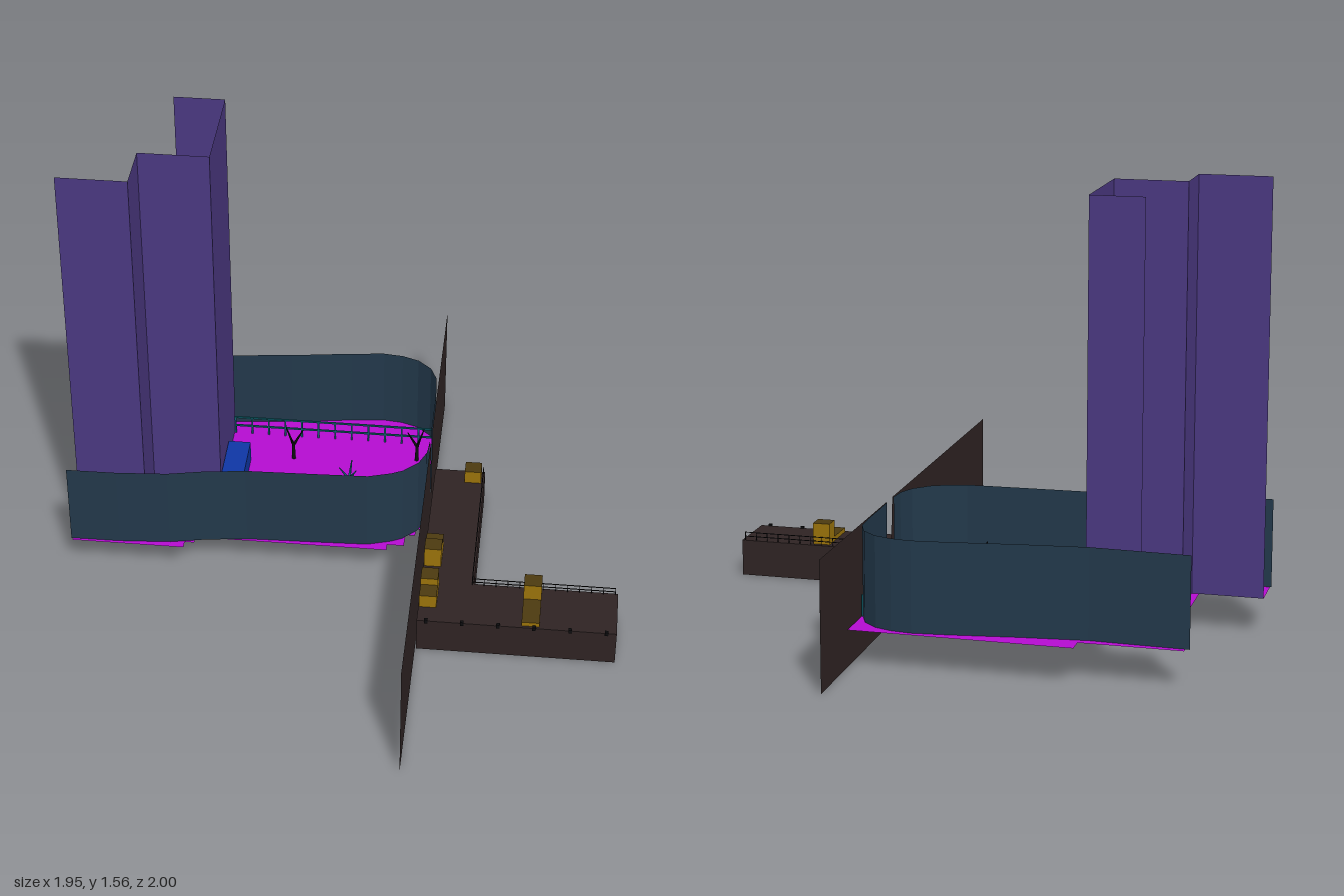
import * as THREE from 'three';

const mat = (name, color, double) => {
  const m = new THREE.MeshStandardMaterial({ color });
  m.name = name;
  if (double) m.side = THREE.DoubleSide;
  return m;
};

export function createModel() {
  const model = new THREE.Group();
  model.name = 'courtyardSet';
  const purple = mat('towerPurple', 0x4a3880, true);
  const slate = mat('slateBlue', 0x22384a, true);
  const brown = mat('darkBrown', 0x2e2323, true);
  const magenta = mat('floorMagenta', 0xb40cd0, true);
  const blue = mat('counterBlue', 0x0f36a4);
  const yellow = mat('crateYellow', 0x99720a);
  const olive = mat('crateTopOlive', 0x4c3a10);
  const black = mat('nearBlack', 0x0c0c0e);
  const teal = mat('fenceTeal', 0x0f6470);

  const FLOOR = 0.13;
  const add = (geo, material, name, parent = model) => {
    const mesh = new THREE.Mesh(geo, material);
    mesh.name = name;
    parent.add(mesh);
    return mesh;
  };
  // Box given by its minimum and maximum corners
  const box = (x0, x1, y0, y1, z0, z1, material, name, parent) => {
    const mesh = add(new THREE.BoxGeometry(x1 - x0, y1 - y0, z1 - z0), material, name, parent);
    mesh.position.set((x0 + x1) / 2, (y0 + y1) / 2, (z0 + z1) / 2);
    return mesh;
  };
  // Thin upright wall following [x, z] points
  const ribbon = (pts, y0, y1, material, name) => {
    const v = [];
    for (let i = 0; i < pts.length - 1; i++) {
      const [ax, az] = pts[i], [bx, bz] = pts[i + 1];
      v.push(ax, y0, az, bx, y0, bz, bx, y1, bz, ax, y0, az, bx, y1, bz, ax, y1, az);
    }
    const g = new THREE.BufferGeometry();
    g.setAttribute('position', new THREE.Float32BufferAttribute(v, 3));
    g.computeVertexNormals();
    return add(g, material, name);
  };
  const shapeOf = (pts) => new THREE.Shape(pts.map(([x, y]) => new THREE.Vector2(x, y)));

  // Stepped courtyard floor
  const floor = new THREE.ShapeGeometry(shapeOf([
    [-0.97, 0.10], [-0.57, 0.10], [-0.57, 0.07], [-0.535, 0.07], [-0.535, 0.04], [0.15, 0.04],
    [0.15, 0.01], [0.21, 0.01], [0.21, -0.05], [0.245, -0.05], [0.245, -0.085], [0.28, -0.085],
    [0.28, -0.735], [-0.47, -0.735], [-0.47, -0.675], [-0.815, -0.675], [-0.815, -0.612],
    [-0.5, -0.612], [-0.5, -0.24], [-0.75, -0.24], [-0.75, -0.05], [-0.97, -0.05],
  ]));
  floor.rotateX(Math.PI / 2);
  add(floor, magenta, 'courtyardFloor').position.y = FLOOR;

  // Folded tower facade
  ribbon([[-0.97, -0.05], [-0.725, -0.05], [-0.725, -0.23], [-0.48, -0.23], [-0.48, -0.605], [-0.66, -0.605]],
    FLOOR, 1.56, purple, 'towerFacade');

  // Curved walls in front of and behind the courtyard
  ribbon([[-0.975, 0.09], [-0.8, 0.088], [-0.62, 0.075], [-0.5, 0.05], [-0.35, 0.03], [-0.1, 0.022], [0.08, 0.015],
    [0.16, -0.01], [0.2, -0.03], [0.25, -0.08], [0.275, -0.14], [0.28, -0.205]], FLOOR, 0.44, slate, 'frontCurvedWall');
  ribbon([[0.28, -0.285], [0.28, -0.5], [0.275, -0.58], [0.25, -0.64], [0.2, -0.685], [0.14, -0.707], [0.07, -0.715],
    [-0.05, -0.702], [-0.27, -0.67], [-0.5, -0.645], [-0.83, -0.655]], FLOOR, 0.44, slate, 'backCurvedWall');

  // Long dividing wall with a narrow cleft (shape drawn as -z, y)
  const divider = new THREE.ShapeGeometry(shapeOf([
    [-1, 0], [1, 0], [1, 0.44], [0.278, 0.44], [0.272, 0.25], [0.262, 0.15], [0.25, 0.16],
    [0.235, 0.22], [0.215, 0.36], [0.207, 0.44], [-1, 0.44],
  ]));
  divider.rotateY(Math.PI / 2);
  add(divider, brown, 'dividingWall').position.x = 0.284;

  // L-shaped walkway
  const walk = new THREE.ExtrudeGeometry(shapeOf([
    [0.288, -0.40], [0.975, -0.40], [0.975, -0.19], [0.472, -0.19], [0.472, 0.44], [0.288, 0.44],
  ]), { depth: FLOOR, bevelEnabled: false });
  walk.rotateX(-Math.PI / 2);
  add(walk, brown, 'walkway');

  // Corner counter wrapped round the tower
  const counter = new THREE.ExtrudeGeometry(shapeOf([
    [-0.535, 0.16], [-0.397, 0.16], [-0.397, 0.425], [-0.478, 0.425], [-0.478, 0.235], [-0.535, 0.235],
  ]), { depth: 0.08, bevelEnabled: false });
  counter.rotateX(-Math.PI / 2);
  add(counter, blue, 'cornerCounter').position.y = FLOOR;

  // Stepped crates: x0, x1, z0, z1, top
  const crateMats = [yellow, yellow, olive, yellow, yellow, yellow];
  [
    [0.40, 0.46, -0.43, -0.372, 0.18],
    [0.29, 0.35, 0.05, 0.11, 0.207], [0.29, 0.35, -0.01, 0.05, 0.18],
    [0.29, 0.35, 0.208, 0.268, 0.207], [0.29, 0.35, 0.268, 0.328, 0.18],
    [0.648, 0.71, 0.208, 0.268, 0.207], [0.648, 0.71, 0.268, 0.39, 0.146],
  ].forEach(([x0, x1, z0, z1, top]) => box(x0, x1, FLOOR, top, z0, z1, crateMats, 'crate'));

  // Railing between two floor points
  const railing = (ax, az, bx, bz, height, rails, posts, t, material, name) => {
    const group = new THREE.Group();
    group.name = name;
    model.add(group);
    for (let r = 1; r <= rails; r++) {
      const y = FLOOR + height * r / rails;
      box(Math.min(ax, bx) - t, Math.max(ax, bx) + t, y - 2 * t, y,
        Math.min(az, bz) - t, Math.max(az, bz) + t, material, 'rail', group);
    }
    for (let i = 0; i <= posts; i++) {
      const x = ax + (bx - ax) * i / posts, z = az + (bz - az) * i / posts;
      box(x - t, x + t, FLOOR, FLOOR + height, z - t, z + t, material, 'post', group);
    }
  };
  railing(0.466, 0.196, 0.965, 0.196, 0.03, 2, 12, 0.0012, black, 'walkwayRailing');
  railing(0.466, -0.43, 0.466, 0.196, 0.03, 2, 15, 0.0012, black, 'sideRailing');
  railing(-0.475, -0.582, 0.275, -0.582, 0.075, 2, 12, 0.003, teal, 'courtyardFence');

  // Small lamps along the walkway front
  for (let i = 0; i < 6; i++) {
    const x = 0.32 + i * 0.124;
    box(x - 0.006, x + 0.006, 0.122, 0.137, 0.393, 0.404, black, 'lamp');
  }

  // Bare trees with three raised branches: x, z, turn
  const tree = (x, z, turn, material) => {
    const group = new THREE.Group();
    group.name = 'bareTree';
    const trunk = add(new THREE.CylinderGeometry(0.005, 0.008, 0.07, 5), material, 'trunk', group);
    trunk.position.y = 0.033;
    for (let i = 0; i < 3; i++) {
      const arm = new THREE.CylinderGeometry(0.002, 0.006, 0.07, 5);
      arm.translate(0, 0.035, 0);
      arm.rotateZ(-0.55);
      const branch = add(arm, material, 'branch', group);
      branch.position.y = 0.062;
      branch.rotation.y = turn + i * Math.PI * 2 / 3;
    }
    group.position.set(x, FLOOR, z);
    model.add(group);
  };
  [[-0.24, -0.45, 0.4], [0.215, -0.485, 0.9], [-0.29, -0.11, 0.5], [-0.57, -0.04, 1.5], [0.01, -0.055, 0.2]]
    .forEach(([x, z, turn]) => tree(x, z, turn, black));
  tree(-0.015, -0.27, 1.4, teal);

  return model;
}
